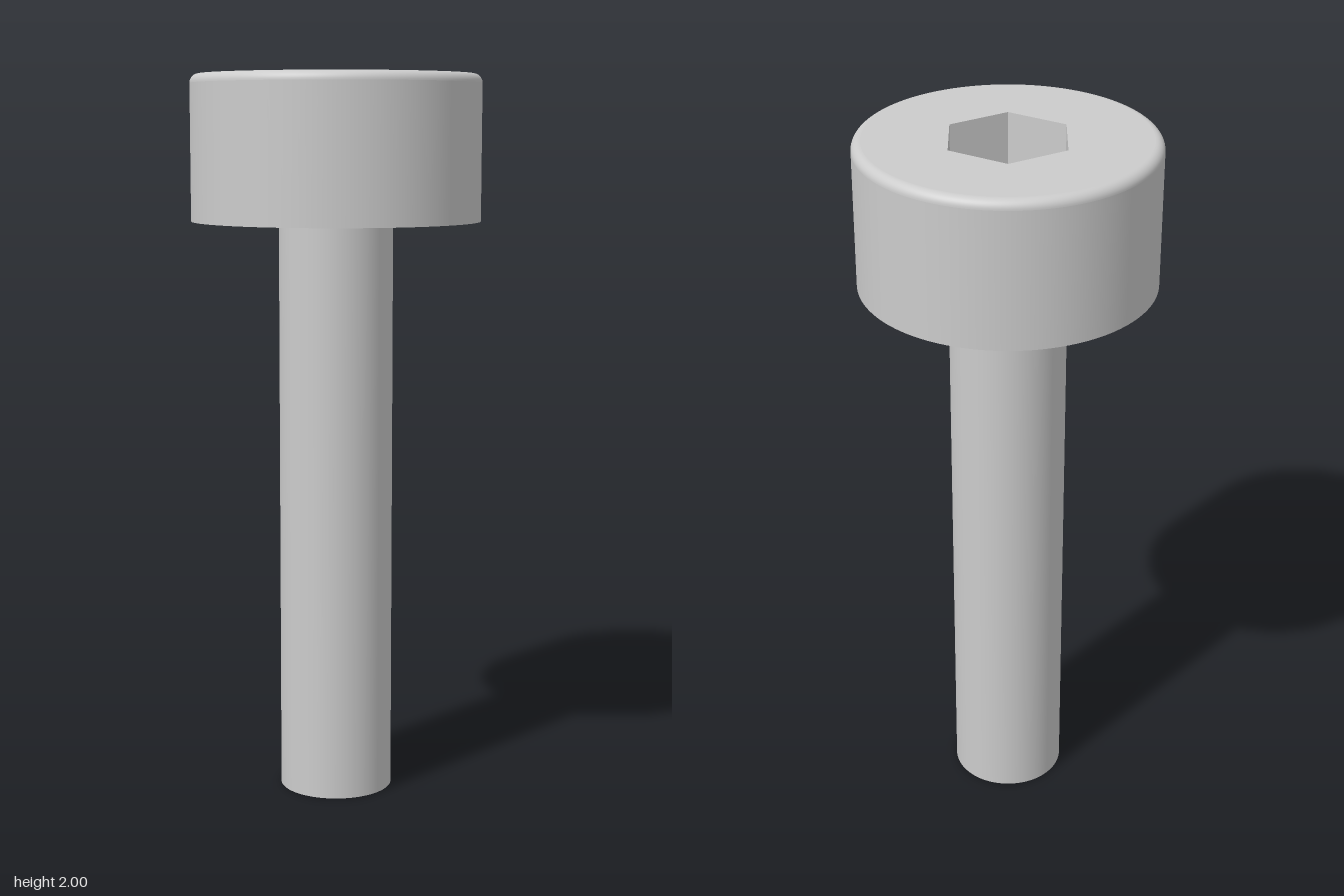
import * as THREE from 'three';

const SEGMENTS = 96;
const HEIGHT = 2;
const SHANK_RADIUS = 0.157;
const HEAD_RADIUS = 0.397;
const HEAD_BASE = 1.603;
const FILLET = 0.025;
const SOCKET_RADIUS = 0.173;
const SOCKET_DEPTH = 0.2;

export function createModel() {
  const model = new THREE.Group();
  const smooth = new THREE.MeshStandardMaterial({ color: 0xcccccc });
  const faceted = new THREE.MeshStandardMaterial({ color: 0xcccccc, flatShading: true });

  const add = (parent, name, geometry, material = smooth) => {
    const mesh = new THREE.Mesh(geometry, material);
    mesh.name = name;
    parent.add(mesh);
    return mesh;
  };
  const group = (name) => {
    const g = new THREE.Group();
    g.name = name;
    model.add(g);
    return g;
  };
  // Each smooth run of the profile is its own surface, so edges between runs stay sharp
  const revolve = (points) =>
    new THREE.LatheGeometry(points.map(([r, y]) => new THREE.Vector2(r, y)), SEGMENTS);

  // Shank: plain rod with a flat end
  const shank = group('shank');
  add(shank, 'shankSide', revolve([[SHANK_RADIUS, 0], [SHANK_RADIUS, HEAD_BASE]]));
  add(shank, 'shankEnd', new THREE.CircleGeometry(SHANK_RADIUS, SEGMENTS).rotateX(Math.PI / 2));

  // Head: bearing face, wall and rounded top rim
  const head = group('head');
  const inner = HEAD_RADIUS - FILLET;
  const fillet = [];
  for (let i = 0; i <= 10; i++) {
    const a = (i / 10) * Math.PI / 2;
    fillet.push([inner + FILLET * Math.cos(a), HEIGHT - FILLET + FILLET * Math.sin(a)]);
  }
  add(head, 'headUnderside', revolve([[SHANK_RADIUS, HEAD_BASE], [HEAD_RADIUS, HEAD_BASE]]));
  add(head, 'headSide', revolve([[HEAD_RADIUS, HEAD_BASE], [HEAD_RADIUS, HEIGHT - FILLET]]));
  add(head, 'headRim', revolve(fillet));

  // Flat top with a hexagonal opening
  const top = new THREE.Shape().absarc(0, 0, inner, 0, Math.PI * 2, false);
  const hexagon = [];
  for (let i = 0; i < 6; i++) {
    const a = (i * Math.PI) / 3;
    hexagon.push(new THREE.Vector2(SOCKET_RADIUS * Math.cos(a), SOCKET_RADIUS * Math.sin(a)));
  }
  top.holes.push(new THREE.Path(hexagon));
  add(head, 'headTop', new THREE.ShapeGeometry(top, SEGMENTS).rotateX(-Math.PI / 2))
    .position.y = HEIGHT;

  // Hex socket: mirrored tube so its walls face inwards, plus a floor
  const socket = group('hexSocket');
  const walls = new THREE.CylinderGeometry(SOCKET_RADIUS, SOCKET_RADIUS, SOCKET_DEPTH, 6, 1, true)
    .rotateY(Math.PI / 2)
    .scale(-1, 1, 1)
    .toNonIndexed();
  walls.computeVertexNormals();
  add(socket, 'socketWalls', walls, faceted).position.y = HEIGHT - SOCKET_DEPTH / 2;
  add(socket, 'socketFloor', new THREE.CircleGeometry(SOCKET_RADIUS, 6).rotateX(-Math.PI / 2), faceted)
    .position.y = HEIGHT - SOCKET_DEPTH;

  return model;
}
